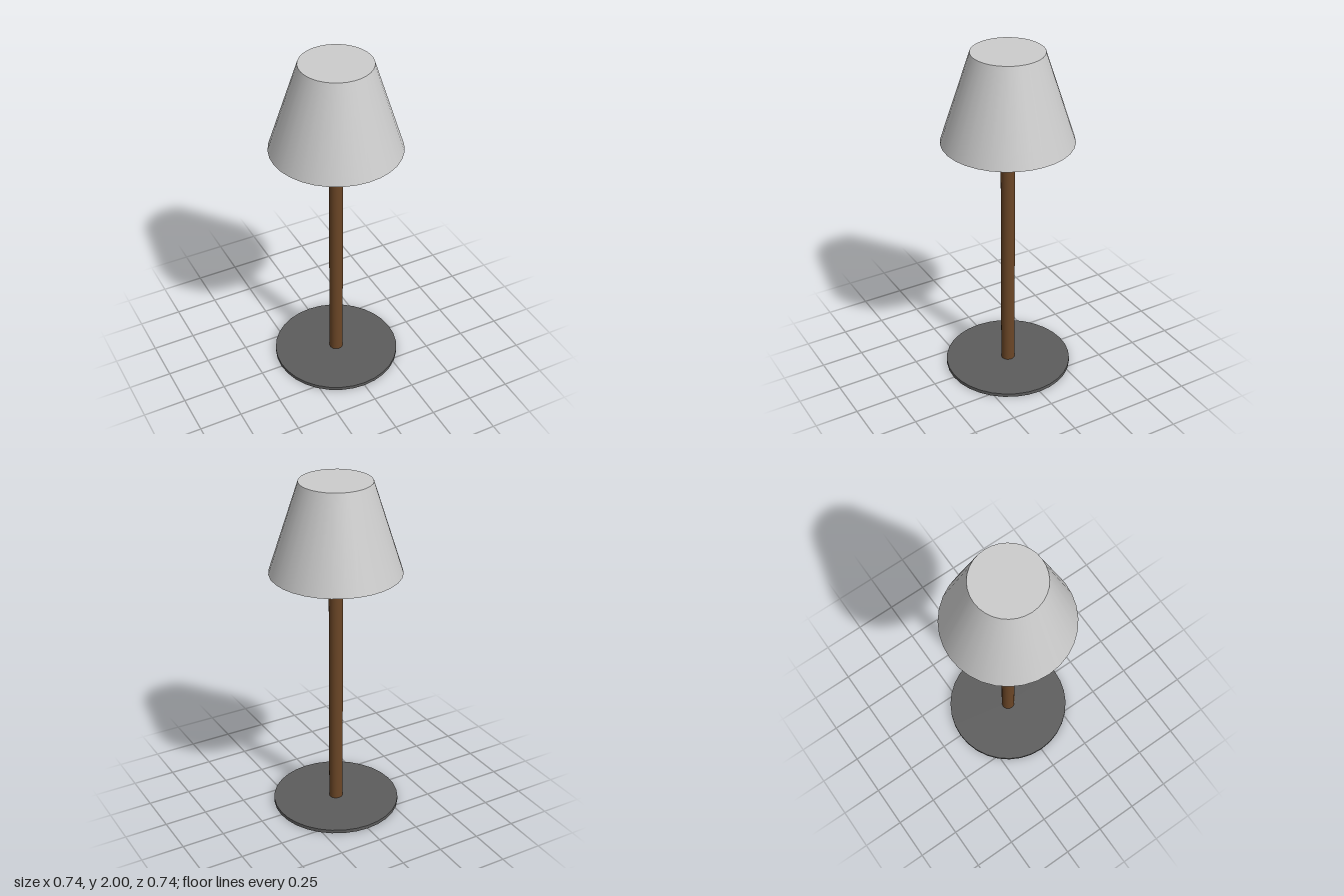
import * as THREE from 'three';

// Upright round part between two heights
function addRound(group, name, color, topRadius, bottomRadius, y0, y1, sides) {
  const geometry = new THREE.CylinderGeometry(topRadius, bottomRadius, y1 - y0, sides);
  const mesh = new THREE.Mesh(geometry, new THREE.MeshStandardMaterial({ color }));
  mesh.name = name;
  mesh.position.y = (y0 + y1) / 2;
  group.add(mesh);
}

export function createModel() {
  const lamp = new THREE.Group();
  lamp.name = 'tableLamp';

  // Thin dark foot
  addRound(lamp, 'base', 0x5c5c5c, 0.372, 0.372, 0, 0.021, 32);
  // Wooden stem, ending just inside the shade
  addRound(lamp, 'stem', 0x6b4626, 0.04, 0.04, 0.021, 1.49, 32);
  // Closed tapered shade
  addRound(lamp, 'shade', 0xcccccc, 0.203, 0.372, 1.48, 2, 32);

  return lamp;
}
